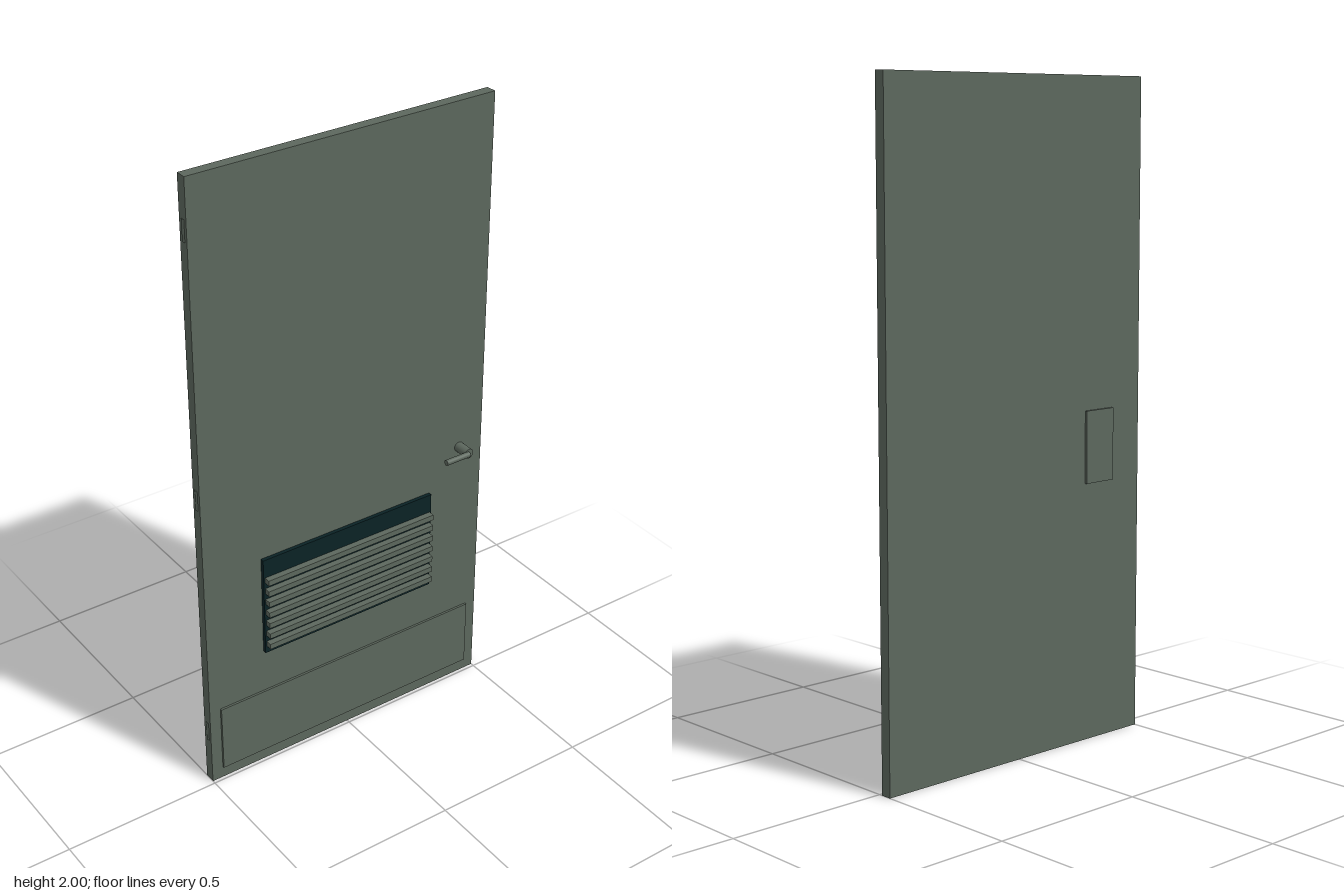
import * as THREE from 'three';

export function createModel() {
  const door = new THREE.Group();
  door.name = 'door';

  const paint = new THREE.MeshStandardMaterial({ color: 0x5c675d });
  paint.name = 'grey green paint';
  const dark = new THREE.MeshStandardMaterial({ color: 0x0a2225 });
  dark.name = 'dark vent';

  const add = (name, geometry, material, x, y, z) => {
    const mesh = new THREE.Mesh(geometry, material);
    mesh.name = name;
    mesh.position.set(x, y, z);
    door.add(mesh);
    return mesh;
  };

  // Box given by its limits on each axis
  const box = (name, material, x0, x1, y0, y1, z0, z1) =>
    add(name, new THREE.BoxGeometry(x1 - x0, y1 - y0, z1 - z0), material,
      (x0 + x1) / 2, (y0 + y1) / 2, (z0 + z1) / 2);

  // Leaf and the plates on it
  box('doorLeaf', paint, -0.5, 0.5, 0, 2, -0.045, -0.011);
  box('kickPlate', paint, -0.463, 0.463, 0.04, 0.265, -0.012, -0.004);
  box('backPlate', paint, -0.383, -0.27, 0.795, 1.015, -0.053, -0.044);

  // Louvred vent
  box('ventPanel', dark, -0.305, 0.305, 0.413, 0.748, -0.013, 0.001);
  for (let i = 0; i < 7; i++) {
    const y = 0.446 + i * 0.0385;
    box('ventSlat', paint, -0.3, 0.3, y - 0.009, y + 0.009, -0.002, 0.021);
  }

  // Lever handle
  const stem = add('handleStem', new THREE.CylinderGeometry(0.016, 0.016, 0.052, 24), paint, 0.415, 0.875, 0.014);
  stem.rotation.x = Math.PI / 2;
  const lever = add('handleLever', new THREE.CylinderGeometry(0.009, 0.009, 0.087, 20), paint, 0.37, 0.875, 0.042);
  lever.rotation.z = Math.PI / 2;

  // Hinge knuckles, mostly sunk in the edge
  for (const y of [0.187, 1.017, 1.845]) {
    add('hinge', new THREE.CylinderGeometry(0.009, 0.009, 0.065, 16), paint, -0.494, y, -0.028);
  }

  return door;
}
